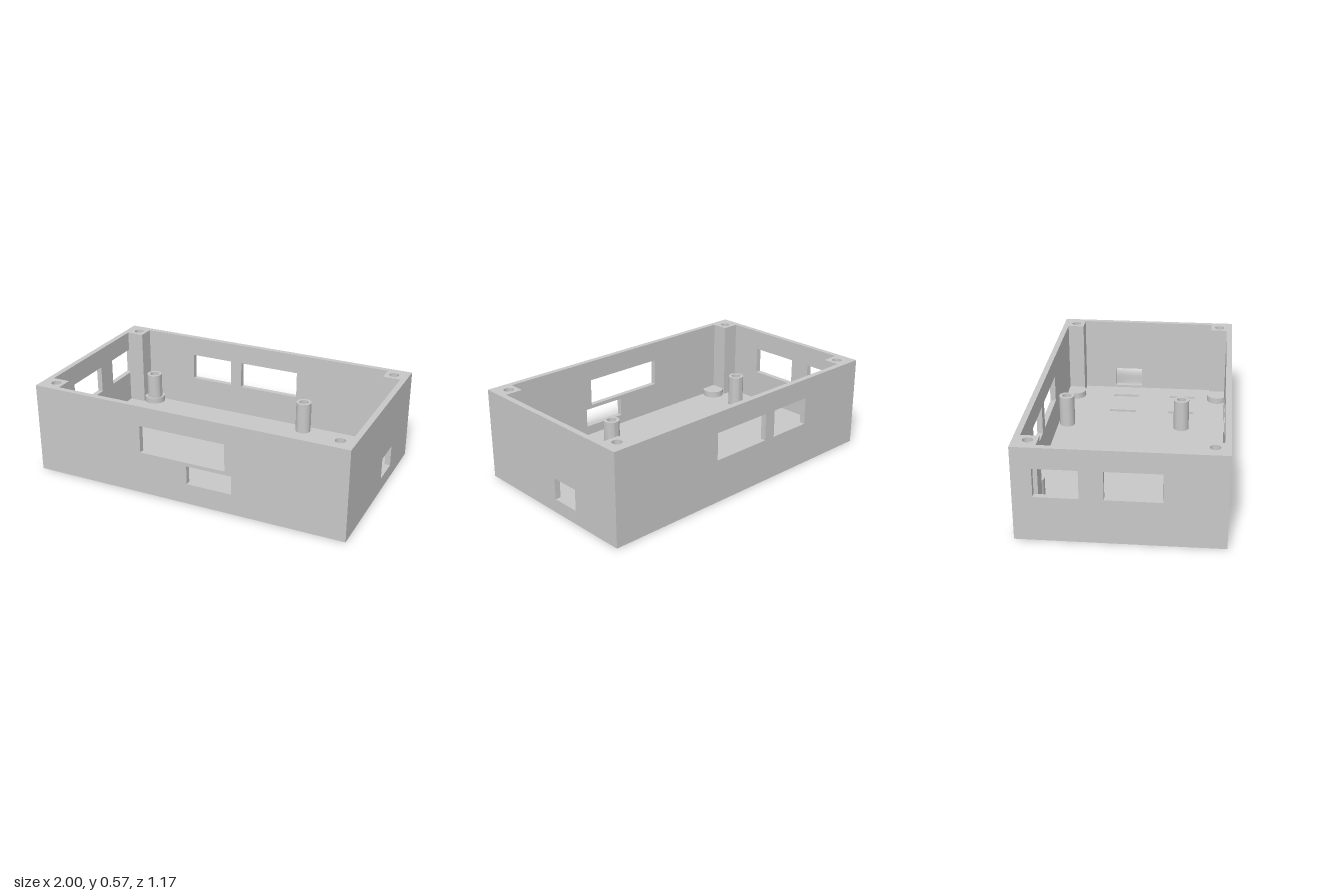
import * as THREE from 'three';
import { toCreasedNormals } from 'three/addons/utils/BufferGeometryUtils.js';

const X = 1, Z = 0.585, H = 0.568;  // half length, half depth, height
const T = 0.035, FLOOR = 0.07;      // wall and floor thickness

// Rectangle as a closed path: [u0, v0, u1, v1]
function rect([u0, v0, u1, v1], Type = THREE.Path) {
  return new Type([[u0, v0], [u1, v0], [u1, v1], [u0, v1]].map(([u, v]) => new THREE.Vector2(u, v)));
}
function circle(u, v, r) {
  return new THREE.Path().absarc(u, v, r, 0, Math.PI * 2, true);
}
// Flat plate with openings, extruded along +z
function plate(outline, holes, depth) {
  const shape = rect(outline, THREE.Shape);
  shape.holes.push(...holes);
  return new THREE.ExtrudeGeometry(shape, { depth, bevelEnabled: false, curveSegments: 16 });
}
function lathe(points) {
  return new THREE.LatheGeometry(points.map(([r, y]) => new THREE.Vector2(r, y)), 32);
}

export function createModel() {
  const group = new THREE.Group();
  const plastic = new THREE.MeshStandardMaterial({ color: 0xc8c8c8 });
  plastic.name = 'greyPlastic';

  const add = (name, geometry, x = 0, y = 0, z = 0) => {
    const mesh = new THREE.Mesh(toCreasedNormals(geometry, 0.6), plastic);
    mesh.name = name;
    mesh.position.set(x, y, z);
    group.add(mesh);
  };
  const windows = list => list.map(w => rect(w));

  // Long walls with connector windows
  add('frontWall', plate([-X, 0, X, H],
    windows([[-0.286, 0.27, 0.262, 0.442], [0.018, 0.13, 0.305, 0.247]]), T), 0, 0, Z - T);
  add('backWall', plate([-X, 0, X, H],
    windows([[-0.154, 0.27, 0.247, 0.442], [-0.512, 0.27, -0.23, 0.442]]), T), 0, 0, -Z);

  // Short walls fit between the long ones
  const side = [-Z + T, 0, Z - T, H];
  add('leftWall', plate(side, windows([[-0.232, 0.085, -0.045, 0.217]]), T).rotateY(-Math.PI / 2), X);
  add('rightWall', plate(side,
    windows([[-0.47, 0.27, -0.22, 0.442], [-0.085, 0.27, 0.235, 0.442]]), T).rotateY(-Math.PI / 2), -X + T);

  // Floor with strap slots and foot holes
  const corners = [[1, 1], [1, -1], [-1, 1], [-1, -1]];
  const floorHoles = corners.map(([sx, sz]) => circle(sx * 0.8, sz * 0.5, 0.038));
  for (const x of [0.546, 0.802])
    for (const z of [-0.227, 0.169])
      floorHoles.push(rect([x, z, x + 0.03, z + 0.175]));
  add('floor', plate([-X + T, -Z + T, X - T, Z - T], floorHoles, FLOOR).rotateX(Math.PI / 2), 0, FLOOR);

  // Corner screw pillars and the low bosses that close the foot holes
  for (const [sx, sz] of corners) {
    const pillar = plate([-0.055, -0.0525, 0.055, 0.0525], [circle(0, sz * 0.0025, 0.03)], H - FLOOR);
    add('cornerPillar', pillar.rotateX(Math.PI / 2), sx * 0.91, H, sz * 0.4975);
    add('footBoss', lathe([[0, 0.08], [0.038, 0.08], [0.038, FLOOR], [0.07, FLOOR], [0.07, 0.11], [0, 0.11]]),
      sx * 0.8, 0, sz * 0.5);
  }

  // Hollow board standoffs; one stands on a foot boss
  for (const [x, z, base] of [[-0.793, -0.49, 0.1], [0.327, -0.49, FLOOR], [-0.793, 0.27, FLOOR], [0.327, 0.27, FLOOR]])
    add('standoff', lathe([[0.05, base], [0.05, 0.275], [0.03, 0.275], [0.03, 0.12], [0, 0.12]]), x, 0, z);

  return group;
}
